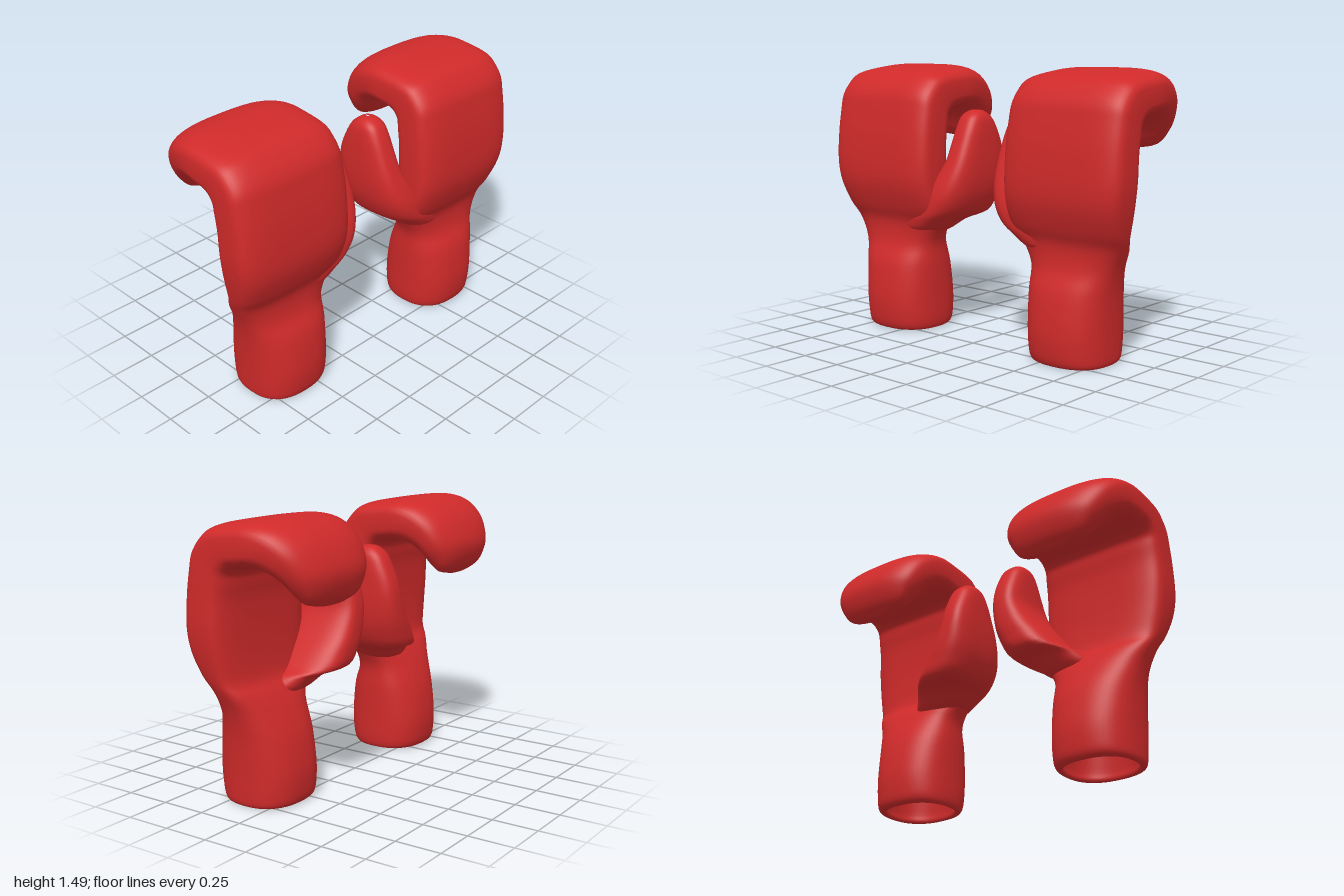
import * as THREE from 'three';

// Sections: [outerX, outerY, innerX, innerY, zMin, zMax, squareness]
// Hollow cuff (from inside the opening, round the rim) up to the knuckles
const cuffAndPalm = [
  [0.14, 0.30, 0.12, 0.30, 0.59, 0.61, 2.3],
  [0.27, 0.28, -0.01, 0.28, 0.45, 0.75, 2.3],
  [0.30, 0.08, -0.045, 0.08, 0.41, 0.79, 2.3],
  [0.30, 0.02, -0.045, 0.02, 0.41, 0.79, 2.3],
  [0.315, 0.008, -0.06, 0.008, 0.395, 0.805, 2.4],
  [0.335, 0.025, -0.085, 0.025, 0.38, 0.82, 2.5],
  [0.35, 0.08, -0.098, 0.08, 0.372, 0.825, 2.5],
  [0.357, 0.2, -0.10, 0.2, 0.37, 0.83, 2.5],
  [0.335, 0.38, -0.068, 0.37, 0.365, 0.845, 2.5],
  [0.29, 0.50, -0.01, 0.51, 0.36, 0.875, 2.6],
  [0.285, 0.62, 0.04, 0.60, 0.31, 0.92, 2.9],
  [0.325, 0.71, 0.085, 0.67, 0.275, 0.95, 3.3],
  [0.365, 0.83, 0.10, 0.80, 0.27, 0.98, 3.8],
  [0.374, 0.95, 0.103, 0.95, 0.27, 0.998, 4],
  [0.362, 1.12, 0.10, 1.08, 0.272, 1.0, 4],
];
// Fingers folding over the palm
const fingers = [
  [0.34, 1.26, 0.088, 1.16, 0.275, 1.0, 4],
  [0.32, 1.34, 0.08, 1.21, 0.278, 1.0, 4],
  [0.27, 1.41, 0.06, 1.235, 0.28, 1.0, 4],
  [0.20, 1.46, 0.035, 1.248, 0.28, 1.0, 4],
  [0.05, 1.488, 0.0, 1.25, 0.28, 1.0, 3.8],
  [-0.08, 1.498, -0.04, 1.25, 0.28, 0.995, 3.5],
  [-0.20, 1.473, -0.09, 1.235, 0.29, 0.98, 3],
  [-0.30, 1.40, -0.145, 1.20, 0.31, 0.95, 2.7],
  [-0.36, 1.30, -0.175, 1.16, 0.335, 0.91, 2.5],
  [-0.375, 1.22, -0.20, 1.12, 0.37, 0.87, 2.4],
  [-0.347, 1.13, -0.24, 1.085, 0.42, 0.81, 2.3],
  [-0.30, 1.078, -0.28, 1.078, 0.52, 0.70, 2],
  [-0.29, 1.076, -0.29, 1.076, 0.60, 0.62, 2],
];
// Thumb, from its root inside the palm to the rounded tip
const thumbRows = [
  [0.16, 0.54, 0.12, 0.54, 0.46, 0.52, 2],
  [0.26, 0.58, 0.02, 0.57, 0.335, 0.60, 2.3],
  [0.285, 0.64, -0.05, 0.64, 0.24, 0.56, 2.5],
  [0.29, 0.70, -0.145, 0.68, 0.16, 0.48, 2.7],
  [0.285, 0.78, -0.163, 0.77, 0.115, 0.41, 2.8],
  [0.26, 0.87, -0.166, 0.86, 0.095, 0.34, 2.9],
  [0.22, 0.97, -0.16, 0.97, 0.09, 0.28, 3],
  [0.175, 1.08, -0.142, 1.06, 0.093, 0.265, 3],
  [0.14, 1.16, -0.11, 1.14, 0.098, 0.26, 2.8],
  [0.105, 1.22, -0.075, 1.205, 0.11, 0.25, 2.5],
  [0.06, 1.25, -0.03, 1.244, 0.14, 0.22, 2.2],
  [0.025, 1.254, 0.0, 1.254, 0.175, 0.185, 2],
];

// Smooth blend between neighbouring sections
function sectionAt(rows, t) {
  const i = Math.min(Math.floor(t), rows.length - 2);
  const f = t - i;
  const at = (k) => rows[THREE.MathUtils.clamp(k, 0, rows.length - 1)];
  return rows[0].map((_, k) => {
    const [a, b, c, d] = [at(i - 1)[k], at(i)[k], at(i + 1)[k], at(i + 2)[k]];
    return b + 0.5 * f * (c - a + f * (2 * a - 5 * b + 4 * c - d + f * (3 * (b - c) + d - a)));
  });
}

// Skin a run of superellipse sections; side = -1 mirrors it across z
function loft(rows, side, around = 48, per = 4) {
  const pos = [];
  const index = [];
  const steps = (rows.length - 1) * per;
  const bend = (v, n) => Math.sign(v) * Math.pow(Math.abs(v), 2 / n);
  for (let i = 0; i <= steps; i++) {
    const [ox, oy, ix, iy, z0, z1, n] = sectionAt(rows, i / per);
    for (let j = 0; j < around; j++) {
      const a = (j / around) * Math.PI * 2;
      const u = bend(Math.cos(a), n) / 2;
      const v = bend(Math.sin(a), n) / 2;
      pos.push(
        (ox + ix) / 2 + (ox - ix) * u,
        Math.max(0, (oy + iy) / 2 + (oy - iy) * u),
        side * ((z0 + z1) / 2 + (z1 - z0) * v)
      );
      if (i === steps) continue;
      const p = i * around + j;
      const q = i * around + ((j + 1) % around);
      const r = p + around;
      const s = q + around;
      if (side > 0) index.push(p, r, q, q, r, s);
      else index.push(p, q, r, q, s, r);
    }
  }
  const g = new THREE.BufferGeometry();
  g.setAttribute('position', new THREE.Float32BufferAttribute(pos, 3));
  g.setIndex(index);
  g.computeVertexNormals();
  return g;
}

export function createModel() {
  const model = new THREE.Group();
  model.name = 'boxingGloves';
  const red = new THREE.MeshStandardMaterial({ color: 0xd02a2a });

  for (const side of [1, -1]) {
    const glove = new THREE.Group();
    glove.name = side > 0 ? 'frontGlove' : 'backGlove';
    const hand = new THREE.Mesh(loft([...cuffAndPalm, ...fingers], side), red);
    hand.name = 'cuffPalmAndFingers';
    const thumb = new THREE.Mesh(loft(thumbRows, side), red);
    thumb.name = 'thumb';
    glove.add(hand, thumb);
    model.add(glove);
  }
  return model;
}
